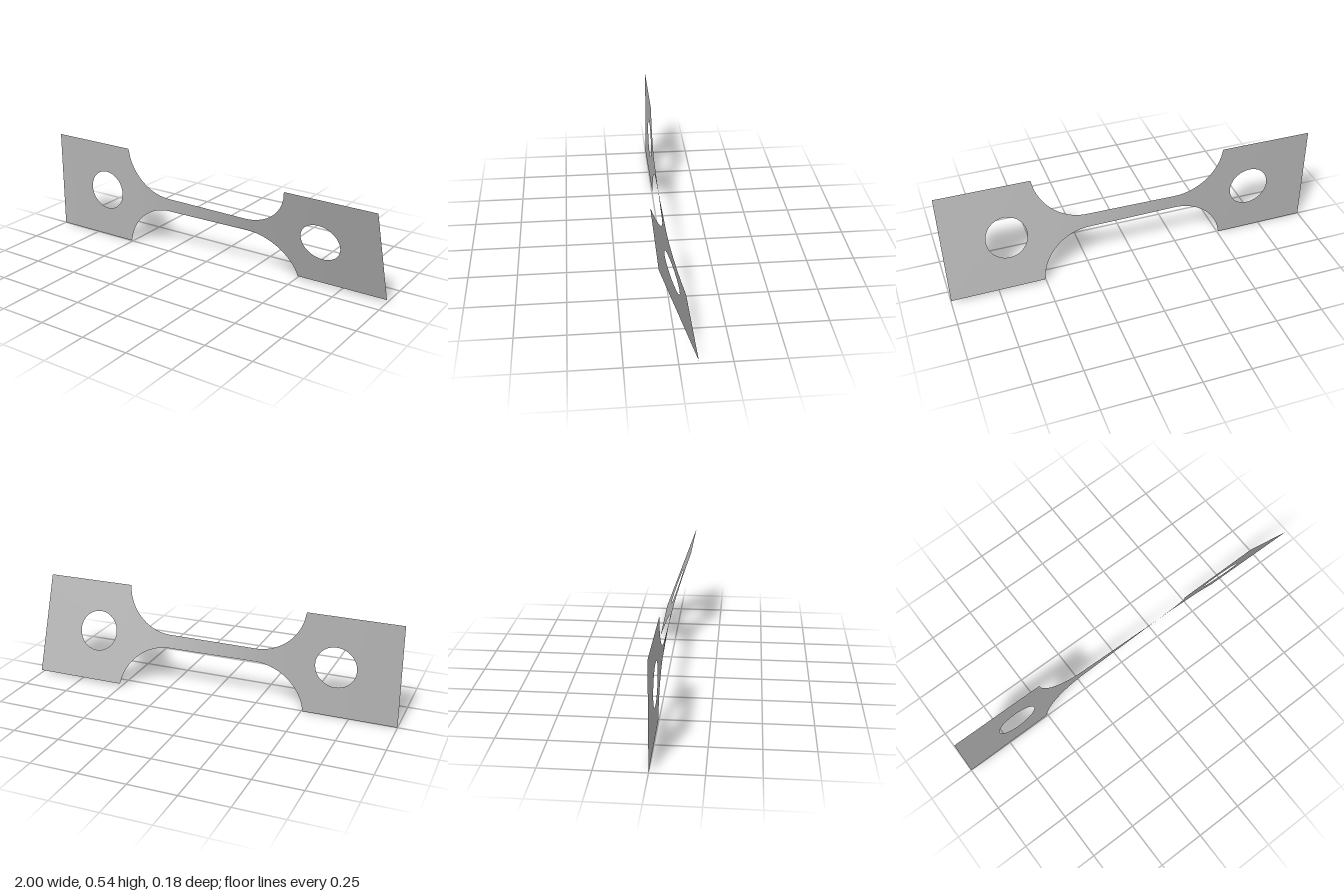
import * as THREE from 'three';

const MID = 0.271, HALF = 0.271, NECK = 0.036, R = 0.27, FILLET_X = 0.24;
const PLATE_X = FILLET_X + Math.sqrt(R * R - (NECK + R - HALF) ** 2);
const HOLE_X = 0.67, HOLE_R = 0.108;

// Twist in degrees along the length: the narrow neck takes most of it
const TWIST = [[-1, 0], [-0.5, 0.75], [-0.4, 1.3], [-0.25, 3], [0.25, 16.5], [0.4, 18.2], [0.5, 18.8], [1, 19.5]];
function twistAt(x) {
  for (let i = 1; i < TWIST.length; i++) {
    const [x0, a0] = TWIST[i - 1], [x1, a1] = TWIST[i];
    if (x <= x1) return THREE.MathUtils.degToRad(a0 + (a1 - a0) * (x - x0) / (x1 - x0));
  }
  return THREE.MathUtils.degToRad(19.5);
}

// Half height of the neck with its circular fillets
function halfHeight(x) {
  const d = Math.max(0, Math.abs(x) - FILLET_X);
  return NECK + R - Math.sqrt(R * R - d * d);
}

// Sheet made from a grid of flat points, turned about the long axis
function sheet(nu, nv, point) {
  const pos = [], idx = [];
  for (let i = 0; i <= nu; i++) {
    for (let j = 0; j <= nv; j++) {
      const [x, y] = point(i / nu, j / nv);
      const a = twistAt(x);
      pos.push(x, MID + y * Math.cos(a), y * Math.sin(a));
      if (i < nu && j < nv) {
        const p = i * (nv + 1) + j, q = p + nv + 1;
        idx.push(p, q, q + 1, p, q + 1, p + 1);
      }
    }
  }
  const g = new THREE.BufferGeometry();
  g.setAttribute('position', new THREE.Float32BufferAttribute(pos, 3));
  g.setIndex(idx);
  g.computeVertexNormals();
  return g;
}

// Point on a plate: u runs round the hole, v from the rim outwards to the hole edge
function platePoint(side, u, v) {
  const corners = [[PLATE_X, -HALF], [1, -HALF], [1, HALF], [PLATE_X, HALF]];
  if (side < 0) corners.reverse();
  const t = (u * 4) % 4, k = Math.floor(t), f = t - k;
  const a = corners[k], b = corners[(k + 1) % 4];
  const ox = side * (a[0] + (b[0] - a[0]) * f), oy = a[1] + (b[1] - a[1]) * f;
  const cx = side * HOLE_X, ang = Math.atan2(oy, ox - cx);
  const hx = cx + HOLE_R * Math.cos(ang), hy = HOLE_R * Math.sin(ang);
  return [ox + (hx - ox) * v, oy + (hy - oy) * v];
}

export function createModel() {
  const group = new THREE.Group();
  const metal = new THREE.MeshStandardMaterial({ color: 0xb2b2b2, side: THREE.DoubleSide });
  metal.name = 'grey metal';

  const add = (name, geometry) => {
    const mesh = new THREE.Mesh(geometry, metal);
    mesh.name = name;
    group.add(mesh);
  };

  // Twisted neck with flared ends
  add('twistedNeck', sheet(96, 8, (u, v) => {
    const x = (u * 2 - 1) * PLATE_X;
    return [x, (v * 2 - 1) * halfHeight(x)];
  }));

  // End plates with round holes
  add('leftGripPlate', sheet(64, 4, (u, v) => platePoint(1, u, v)));
  add('rightGripPlate', sheet(64, 4, (u, v) => platePoint(-1, u, v)));
  return group;
}
